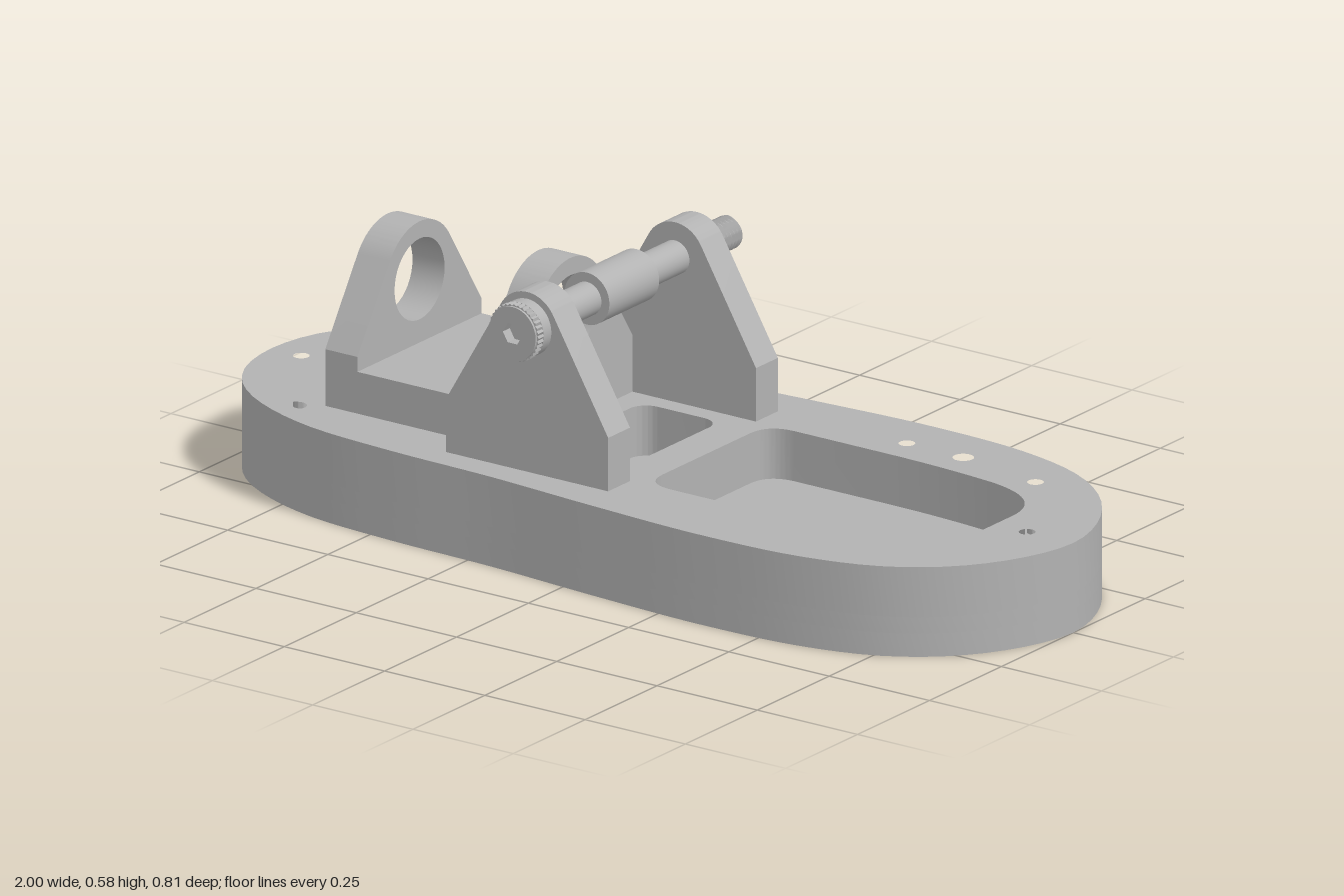
import * as THREE from 'three';
import { toCreasedNormals } from 'three/addons/utils/BufferGeometryUtils.js';

const steel = new THREE.MeshStandardMaterial({ color: 0xb2b2b2 });
steel.name = 'grey metal';

const AXIS_X = -0.148, AXIS_Y = 0.505; // bolt axis
const TOP = 0.193; // top face of the base plate

function add(parent, name, geometry, x = 0, y = 0, z = 0) {
  const mesh = new THREE.Mesh(geometry, steel);
  mesh.name = name;
  mesh.position.set(x, y, z);
  parent.add(mesh);
  return mesh;
}

function extrude(shape, depth) {
  const g = new THREE.ExtrudeGeometry(shape, { depth, bevelEnabled: false, curveSegments: 20 });
  return toCreasedNormals(g, 0.5);
}

function circlePath(x, y, r) {
  return new THREE.Path().absarc(x, y, r, 0, Math.PI * 2, true);
}

function polygonPath(n, radius) {
  const pts = [];
  for (let i = 0; i < n; i++) {
    const a = (i / n) * Math.PI * 2, r = radius(i);
    pts.push(new THREE.Vector2(Math.cos(a) * r, Math.sin(a) * r));
  }
  return pts;
}

// Cylinder along z between two z values
function rod(parent, name, r, z0, z1) {
  const g = new THREE.CylinderGeometry(r, r, z1 - z0, 40).rotateX(Math.PI / 2);
  return add(parent, name, g, AXIS_X, AXIS_Y, (z0 + z1) / 2);
}

// Lug outline: straight sides, then slopes tangent to a round top
function lugShape(half, yBase, yShoulder, yCentre, r) {
  const dy = yShoulder - yCentre;
  const a = Math.atan2(dy, half) + Math.acos(r / Math.hypot(half, dy));
  const s = new THREE.Shape();
  s.moveTo(-half, yBase);
  s.lineTo(half, yBase);
  s.lineTo(half, yShoulder);
  s.absarc(0, yCentre, r, a, Math.PI - a, false);
  s.lineTo(-half, yShoulder);
  s.closePath();
  return s;
}

// Plate outline, mirrored about the long axis
function plateShape() {
  const half = [[-0.985, 0.1], [-0.95, 0.172], [-0.895, 0.232], [-0.8, 0.29], [-0.66, 0.336], [-0.45, 0.357],
    [-0.19, 0.366], [0.08, 0.387], [0.36, 0.401], [0.6, 0.387], [0.77, 0.337], [0.89, 0.248], [0.97, 0.125]];
  const pts = [[-1, 0], ...half, [1, 0], ...half.slice().reverse().map(([x, z]) => [x, -z])];
  const curve = new THREE.CatmullRomCurve3(pts.map(([x, z]) => new THREE.Vector3(x, z, 0)), true);
  return new THREE.Shape(curve.getSpacedPoints(110).slice(0, -1).map(p => new THREE.Vector2(p.x, p.y)));
}

function largePocket() {
  const p = new THREE.Path();
  p.moveTo(0.085, -0.15);
  p.quadraticCurveTo(0.085, -0.213, 0.15, -0.215);
  p.lineTo(0.38, -0.215);
  p.quadraticCurveTo(0.52, -0.215, 0.65, -0.2);
  p.bezierCurveTo(0.76, -0.185, 0.805, -0.13, 0.805, -0.06);
  p.lineTo(0.805, 0.06);
  p.bezierCurveTo(0.805, 0.13, 0.76, 0.185, 0.65, 0.2);
  p.quadraticCurveTo(0.52, 0.215, 0.38, 0.215);
  p.lineTo(0.15, 0.215);
  p.quadraticCurveTo(0.085, 0.213, 0.085, 0.15);
  p.closePath();
  return p;
}

function smallPocket() {
  const x0 = -0.2, x1 = -0.003, z = 0.172, r = 0.04;
  const p = new THREE.Path();
  p.absarc(x1 - r, -z + r, r, -Math.PI / 2, 0, false);
  p.absarc(x1 - r, z - r, r, 0, Math.PI / 2, false);
  p.absarc(x0 + r, z - r, r, Math.PI / 2, Math.PI, false);
  p.absarc(x0 + r, -z + r, r, Math.PI, Math.PI * 1.5, false);
  p.closePath();
  return p;
}

function buildBase(root) {
  const base = new THREE.Group();
  base.name = 'base';
  root.add(base);
  const through = [[-0.925, 0], [-0.475, 0.28], [-0.475, -0.28], [0.725, 0.252], [0.725, -0.252], [0.885, 0]];
  const blind = [];
  for (const s of [1, -1]) {
    blind.push([-0.76, s * 0.248, 0.022], [0.52, s * 0.287, 0.022], [0.378, s * 0.289, 0.017]);
  }
  // Stacked slabs: counterbores, pocket floor, pockets
  const slabs = [['counterboredUnderside', 0, 0.05, 0.038], ['pocketFloor', 0.05, 0.085, 0.017], ['pocketedTop', 0.085, TOP, 0.017]];
  slabs.forEach(([name, y0, y1, r], i) => {
    const shape = plateShape();
    through.forEach(([x, z]) => shape.holes.push(circlePath(x, z, r)));
    if (i === 2) {
      shape.holes.push(largePocket(), smallPocket());
      blind.forEach(([x, z, br]) => shape.holes.push(circlePath(x, z, br)));
    }
    add(base, name, extrude(shape, y1 - y0).rotateX(-Math.PI / 2), 0, y0, 0);
  });
  // Conical ends of the blind holes
  for (const [x, z, r] of blind) {
    const cone = new THREE.LatheGeometry([new THREE.Vector2(r, 0.125), new THREE.Vector2(0, 0.11)], 24);
    add(base, 'blindHoleTip', cone, x, 0, z);
  }
}

function buildCradle(root) {
  const cradle = new THREE.Group();
  cradle.name = 'cradle';
  root.add(cradle);
  for (const [name, x, portHole] of [['outerUpright', -0.71, true], ['innerUpright', -0.334, false]]) {
    const shape = lugShape(0.216, TOP, 0.315, 0.42, 0.124);
    shape.holes.push(circlePath(0, 0.42, 0.087));
    if (portHole) shape.holes.push(circlePath(0, 0.245, 0.03));
    add(cradle, name, extrude(shape, 0.08).rotateY(Math.PI / 2), x);
  }
  add(cradle, 'cradleFloor', new THREE.BoxGeometry(0.296, 0.09, 0.432), -0.482, TOP + 0.045, 0);
}

function buildHinge(root) {
  const hinge = new THREE.Group();
  hinge.name = 'hinge';
  root.add(hinge);
  for (const [name, z] of [['leftEar', 0.222], ['rightEar', -0.292]]) {
    add(hinge, name, extrude(lugShape(0.202, TOP, 0.308, AXIS_Y, 0.075), 0.076), AXIS_X, 0, z);
  }
  rod(hinge, 'boltShank', 0.036, -0.292, 0.3);
  rod(hinge, 'sleeve', 0.056, -0.083, 0.09);

  // Bolt head: collar, knurled band and front rim with a hex socket
  rod(hinge, 'boltHeadCollar', 0.0605, 0.298, 0.325);
  const hex = () => new THREE.Path(polygonPath(6, () => 0.024));
  const knurl = new THREE.Shape(polygonPath(72, i => (i % 2 ? 0.0585 : 0.062)));
  knurl.holes.push(hex());
  add(hinge, 'boltHeadKnurl', extrude(knurl, 0.019), AXIS_X, AXIS_Y, 0.325);
  const rim = new THREE.Shape(polygonPath(40, () => 0.0575));
  rim.holes.push(hex());
  add(hinge, 'boltHeadRim', extrude(rim, 0.005), AXIS_X, AXIS_Y, 0.344);

  // Thread: push a cylinder's vertices in and out along a helix
  const length = 0.114, pitch = 0.0114;
  const thread = new THREE.CylinderGeometry(1, 1, length, 32, 80);
  const pos = thread.attributes.position;
  for (let i = 0; i < pos.count; i++) {
    const x = pos.getX(i), y = pos.getY(i), z = pos.getZ(i);
    if (Math.hypot(x, z) < 0.5) continue;
    const phase = y / pitch + Math.atan2(x, z) / (Math.PI * 2) + 20;
    const r = 0.028 + 0.0085 * Math.abs(2 * (phase - Math.floor(phase)) - 1);
    pos.setXYZ(i, x * r, y, z * r);
  }
  add(hinge, 'boltThread', toCreasedNormals(thread, 0.5).rotateX(Math.PI / 2), AXIS_X, AXIS_Y, -0.292 - length / 2);
}

export function createModel() {
  const root = new THREE.Group();
  root.name = 'hingedFixture';
  buildBase(root);
  buildCradle(root);
  buildHinge(root);
  return root;
}
